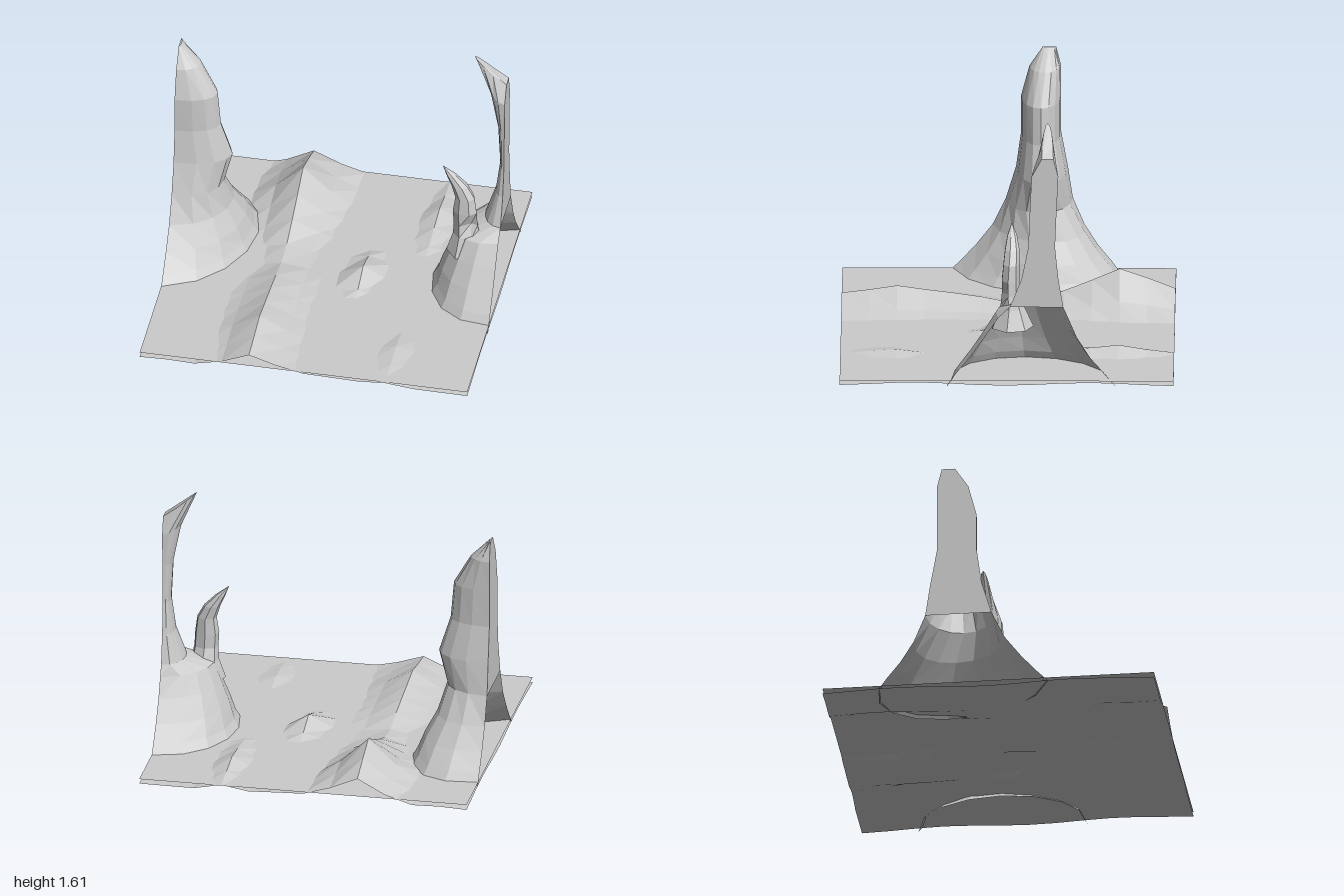
import * as THREE from 'three';

const rock = new THREE.MeshStandardMaterial({ color: 0xcccccc, flatShading: true, side: THREE.DoubleSide });

// Skins a stack of equal-length point rings; rings from index closeFrom on are joined end to start.
function loft(name, rings, closeFrom = 0) {
  const n = rings[0].length, index = [];
  for (let i = 0; i < rings.length - 1; i++) {
    const spans = i >= closeFrom ? n : n - 1;
    for (let j = 0; j < spans; j++) {
      const k = (j + 1) % n, a = i * n + j, b = i * n + k;
      index.push(a, b, a + n, b, b + n, a + n);
    }
  }
  const top = (rings.length - 1) * n;
  for (let j = 1; j < n - 1; j++) index.push(top, top + j, top + j + 1);
  const geo = new THREE.BufferGeometry();
  geo.setAttribute('position', new THREE.Float32BufferAttribute(rings.flat(2), 3));
  geo.setIndex(index);
  const flat = geo.toNonIndexed();
  flat.computeVertexNormals();
  const mesh = new THREE.Mesh(flat, rock);
  mesh.name = name;
  return mesh;
}

// Half ring that starts and ends on the tile edge x = side.
function halfRing(side, [y, reach, zFront, zBack, skew = 0, lift = 0], n = 8) {
  const points = [];
  for (let j = 0; j <= n; j++) {
    const t = (j / n) * Math.PI, s = Math.max(0, Math.sin(t));
    const z = (zFront + zBack) / 2 + (zFront - zBack) / 2 * Math.cos(t) + skew * s;
    points.push([side * (1 - reach * Math.pow(s, 0.9)), y + lift * s, z]);
  }
  return points;
}

function fullRing([y, cx, cz, rx, rz], n = 7) {
  return Array.from({ length: n }, (_, j) => {
    const t = ((j + 0.25) / n) * Math.PI * 2;
    return [cx + rx * Math.cos(t), y, cz + rz * Math.sin(t)];
  });
}

// Hills: x, z, height, half width in x, half length in z
const hills = [
  [-0.333, -0.667, 0.24, 0.29, 0.62],
  [-0.333, 0.667, 0.14, 0.3, 0.8],
  [0.167, 0, 0.09, 0.16, 0.3],
  [0.5, -0.667, 0.08, 0.18, 0.5],
  [0.5, 0.667, 0.035, 0.22, 0.5],
];

function groundHeight(x, z) {
  let y = 0.02 + 0.011 * Math.sin(x * 7 + 1.3) + 0.009 * Math.cos(z * 6 + x * 3);
  // Low ridges running the length of the tile
  y += 0.035 * Math.max(0, 1 - Math.abs(x + 0.333) / 0.25);
  y += 0.02 * Math.max(0, 1 - Math.abs(x - 0.5) / 0.25);
  for (const [hx, hz, h, rx, rz] of hills) {
    y += h * Math.max(0, 1 - Math.abs(x - hx) / rx) * Math.max(0, 1 - Math.abs(z - hz) / rz);
  }
  return Math.max(0, y);
}

export function createModel() {
  const model = new THREE.Group();
  model.name = 'rockyShore';

  // Undulating ground
  let ground = new THREE.PlaneGeometry(2, 2, 12, 12).rotateX(-Math.PI / 2);
  const p = ground.attributes.position;
  for (let i = 0; i < p.count; i++) p.setY(i, groundHeight(p.getX(i), p.getZ(i)));
  ground = ground.toNonIndexed();
  ground.computeVertexNormals();
  const groundMesh = new THREE.Mesh(ground, rock);
  groundMesh.name = 'ground';
  model.add(groundMesh);

  // Flat water sheet, pierced by the hills
  const water = new THREE.Mesh(new THREE.PlaneGeometry(2, 2).rotateX(-Math.PI / 2), rock);
  water.name = 'water';
  water.position.y = 0.05;
  model.add(water);

  // Broad rock tower, cut by the tile edge: y, reach, front z, back z, skew, lift
  const broad = [
    [0.03, 0.48, 0.36, -0.66, -0.15],
    [0.1, 0.44, 0.29, -0.61, -0.13],
    [0.2, 0.4, 0.2, -0.53, -0.1],
    [0.33, 0.33, 0.1, -0.45, -0.06],
    [0.5, 0.28, 0.02, -0.38],
    [0.7, 0.33, -0.04, -0.35],
    [0.92, 0.26, -0.07, -0.31],
    [1.15, 0.24, -0.07, -0.31],
    [1.34, 0.13, -0.12, -0.31],
    [1.46, 0.01, -0.2, -0.28],
  ];
  model.add(loft('broadTower', broad.map(r => halfRing(-1, r)), 4));

  // Slender tower on a wide foot, with a crest leaning inward
  const slender = [
    [0.01, 0.45, 0.36, -0.66, 0.04],
    [0.1, 0.4, 0.3, -0.58, 0.04],
    [0.2, 0.37, 0.22, -0.5, 0.05],
    [0.33, 0.32, 0.13, -0.42, 0.06],
    [0.45, 0.27, 0.05, -0.37, 0.08],
    [0.52, 0.12, -0.02, -0.34],
    [0.7, 0.06, -0.09, -0.31],
    [0.9, 0.035, -0.13, -0.29],
    [1.15, 0.05, -0.14, -0.3],
    [1.35, 0.1, -0.15, -0.31, 0, 0.04],
    [1.46, 0.2, -0.21, -0.28, 0, 0.16],
  ];
  model.add(loft('slenderTower', slender.map(r => halfRing(1, r)), 5));

  // Hooked spire on the foot: y, centre x, centre z, radius x, radius z
  const spire = [
    [0.33, 0.8, -0.03, 0.13, 0.13],
    [0.45, 0.795, -0.03, 0.085, 0.075],
    [0.53, 0.79, -0.02, 0.075, 0.055],
    [0.62, 0.785, -0.02, 0.075, 0.055],
    [0.72, 0.785, -0.025, 0.06, 0.05],
    [0.8, 0.75, -0.03, 0.05, 0.045],
    [0.87, 0.7, -0.03, 0.03, 0.03],
    [0.93, 0.65, -0.03, 0.002, 0.002],
  ].map(r => fullRing(r));
  // Small hollow on the spire's front
  spire[2][1][2] -= 0.05;
  model.add(loft('hookedSpire', spire));

  return model;
}
